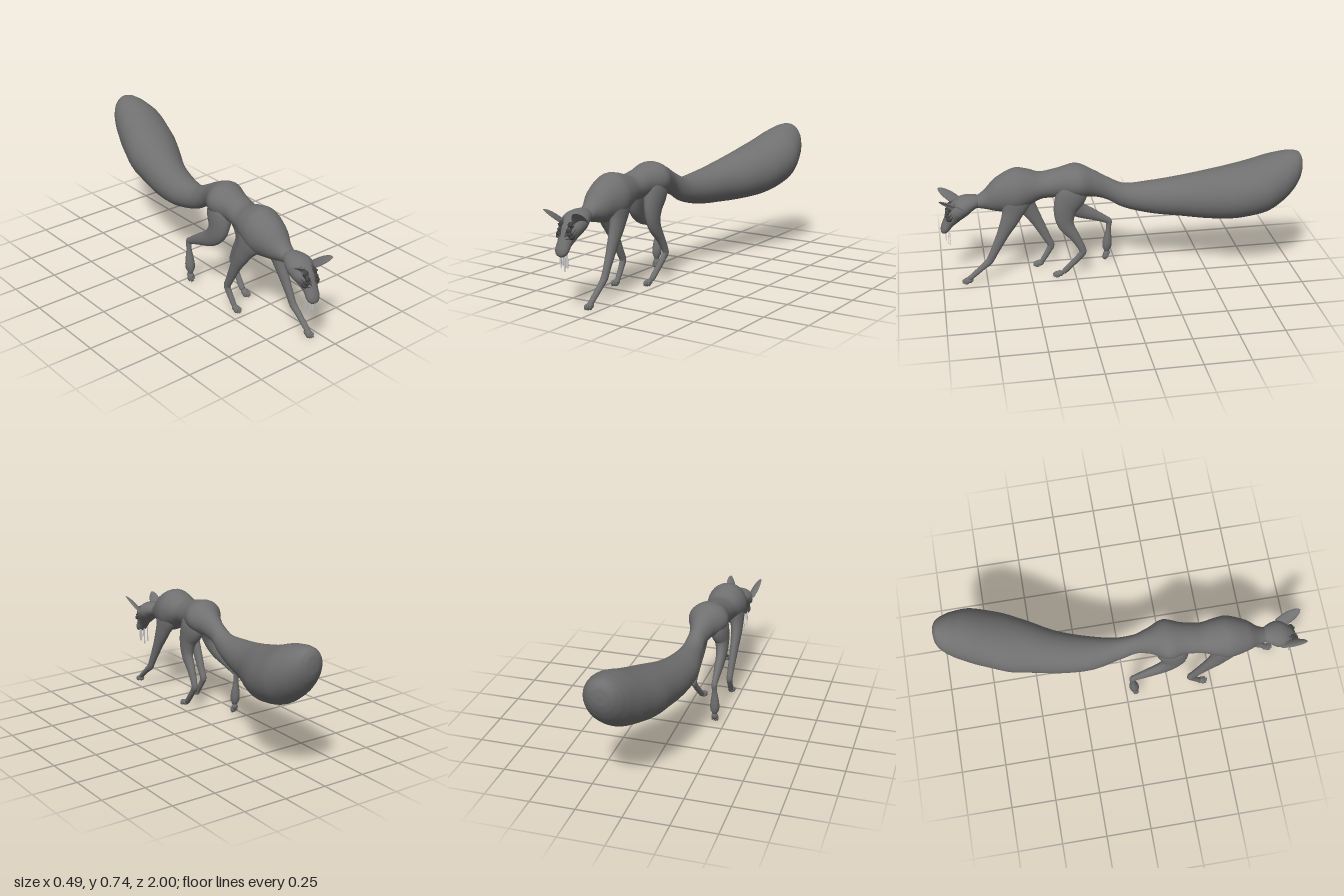
import * as THREE from 'three';
import { ParametricGeometry } from 'three/addons/geometries/ParametricGeometry.js';

const fur = new THREE.MeshStandardMaterial({ color: 0x707070 });
const earFur = new THREE.MeshStandardMaterial({ color: 0x707070, side: THREE.DoubleSide });
const dark = new THREE.MeshStandardMaterial({ color: 0x444444 });
const pale = new THREE.MeshStandardMaterial({ color: 0xcccccc });
const V = (x, y, z) => new THREE.Vector3(x, y, z);
const CX = -0.137; // centre line of head

// Smooth skin through elliptical sections [x, y, z, halfWidth, halfDepth].
// upright keeps every section in a vertical plane facing z.
function loft(name, pts, { upright = false, sides = 20, steps = 6, ref = V(1, 0, 0), material = fur } = {}) {
  const path = new THREE.CatmullRomCurve3(pts.map(p => V(p[0], p[1], p[2])));
  const size = new THREE.CatmullRomCurve3(pts.map(p => V(p[3], p[4], 0)));
  const rows = (pts.length - 1) * steps, pos = [], idx = [];
  for (let i = 0; i <= rows; i++) {
    const c = path.getPoint(i / rows), r = size.getPoint(i / rows);
    const t = path.getTangent(i / rows);
    const s = upright ? V(-1, 0, 0) : ref.clone().addScaledVector(t, -ref.dot(t)).normalize();
    const u = upright ? V(0, 1, 0) : t.clone().cross(s);
    for (let j = 0; j < sides; j++) {
      const a = j / sides * Math.PI * 2;
      const p = c.clone().addScaledVector(s, Math.max(r.x, 0) * Math.cos(a))
        .addScaledVector(u, Math.max(r.y, 0) * Math.sin(a));
      pos.push(p.x, p.y, p.z);
      if (i < rows) {
        const k = (j + 1) % sides, A = i * sides + j, B = i * sides + k;
        idx.push(A, B, B + sides, A, B + sides, A + sides);
      }
    }
  }
  const g = new THREE.BufferGeometry();
  g.setAttribute('position', new THREE.Float32BufferAttribute(pos, 3));
  g.setIndex(idx);
  g.computeVertexNormals();
  const m = new THREE.Mesh(g, material);
  m.name = name;
  return m;
}

// Paw with four toes and claws; tilt turns the toes downward
function paw(name, x, y, z, tilt = 0) {
  const g = new THREE.Group();
  g.name = name;
  const ball = (part, px, py, pz, sx, sy, sz) => {
    const m = new THREE.Mesh(new THREE.SphereGeometry(1, 14, 10), fur);
    m.position.set(px, py, pz);
    m.scale.set(sx, sy, sz);
    m.name = part;
    g.add(m);
  };
  ball('pad', 0, 0.004, 0, 0.019, 0.017, 0.024);
  for (let i = 0; i < 4; i++) {
    const tx = (i - 1.5) * 0.0098, tz = i % 3 ? 0.023 : 0.015;
    ball('toe', tx, -0.001, tz, 0.0058, 0.014, 0.015);
    const claw = new THREE.Mesh(new THREE.ConeGeometry(0.0028, 0.014, 8), fur);
    claw.position.set(tx, -0.01, tz + 0.013);
    claw.rotation.x = 2.2;
    claw.name = 'claw';
    g.add(claw);
  }
  g.position.set(x, y, z);
  g.rotation.x = tilt;
  return g;
}

// Broad cupped pointed ear, its hollow turned forward and slightly outward
function ear(s) {
  const base = V(CX + s * 0.064, 0.438, 0.875), axis = V(s * 0.032, 0.086, 0.12);
  const n = axis.clone().normalize();
  const open = V(s * 0.55, -0.55, 0.4);
  open.addScaledVector(n, -open.dot(n)).normalize();
  const side = n.clone().cross(open);
  const g = new ParametricGeometry((u, v, out) => {
    const a = (v - 0.5) * 3, r = 0.038 * Math.pow(1 - u, 0.65) * (0.75 + 1.1 * u);
    out.copy(base).addScaledVector(axis, u)
      .addScaledVector(open, -r * Math.cos(a) * 0.5).addScaledVector(side, r * Math.sin(a));
  }, 16, 16);
  const m = new THREE.Mesh(g, earFur);
  m.name = s > 0 ? 'leftEar' : 'rightEar';
  return m;
}

export function createModel() {
  const model = new THREE.Group();

  // Neck, trunk and bushy tail: [z, centre x, top y, bottom y, half width]
  const trunk = [
    [0.85, -0.137, 0.49, 0.44, 0.03], [0.78, -0.136, 0.505, 0.433, 0.042],
    [0.74, -0.135, 0.535, 0.425, 0.052], [0.68, -0.133, 0.598, 0.41, 0.083],
    [0.57, -0.13, 0.652, 0.4, 0.113], [0.5, -0.128, 0.642, 0.435, 0.104],
    [0.42, -0.122, 0.622, 0.475, 0.086], [0.33, -0.112, 0.643, 0.48, 0.087],
    [0.23, -0.105, 0.665, 0.475, 0.112], [0.14, -0.093, 0.63, 0.475, 0.07],
    [0.06, -0.086, 0.585, 0.45, 0.05], [-0.03, -0.08, 0.542, 0.4, 0.06],
    [-0.18, -0.072, 0.545, 0.36, 0.094], [-0.35, -0.04, 0.575, 0.346, 0.119],
    [-0.5, 0.01, 0.618, 0.345, 0.147], [-0.64, 0.051, 0.66, 0.357, 0.167],
    [-0.79, 0.09, 0.717, 0.398, 0.157], [-0.9, 0.099, 0.744, 0.47, 0.124],
    [-0.95, 0.099, 0.746, 0.525, 0.098], [-0.98, 0.098, 0.737, 0.575, 0.071],
    [-0.995, 0.097, 0.712, 0.618, 0.04], [-1, 0.097, 0.668, 0.668, 0]];
  model.add(loft('bodyAndTail', trunk.map(([z, x, t, b, w]) => [x, (t + b) / 2, z, w, (t - b) / 2]),
    { upright: true, sides: 32, steps: 5 }));

  // Head, turned down to the rounded muzzle
  const head = loft('head', [
    [CX, 0.473, 0.755, 0, 0], [CX, 0.473, 0.775, 0.04, 0.031], [CX, 0.466, 0.82, 0.065, 0.045],
    [CX, 0.449, 0.86, 0.076, 0.055], [CX, 0.418, 0.898, 0.068, 0.053], [CX, 0.385, 0.924, 0.049, 0.044],
    [CX - 0.002, 0.352, 0.948, 0.04, 0.033], [CX - 0.003, 0.322, 0.966, 0.039, 0.027],
    [CX - 0.003, 0.303, 0.976, 0.031, 0.02], [CX - 0.003, 0.294, 0.981, 0.018, 0.012],
    [CX - 0.003, 0.29, 0.983, 0, 0]], { sides: 28 });
  model.add(head, ear(1), ear(-1));

  // Raised face markings laid on the head, mirrored: [offset x, y]
  const ray = new THREE.Raycaster();
  const onHead = (x, y) => {
    ray.set(V(x, y, 2), V(0, 0, -1));
    const hit = ray.intersectObject(head)[0];
    return hit ? hit.point.z : 0.9;
  };
  const marks = [
    [[0.012, 0.385], [0.022, 0.4], [0.044, 0.407], [0.054, 0.43]],
    [[0.016, 0.378], [0.034, 0.384], [0.05, 0.397], [0.058, 0.415]],
    [[0.012, 0.392], [0.019, 0.415], [0.037, 0.428], [0.046, 0.452]],
    [[0.021, 0.415], [0.022, 0.44], [0.034, 0.46], [0.033, 0.485]],
    [[0.03, 0.425], [0.034, 0.436], [0.03, 0.45], [0.019, 0.478]]];
  for (const s of [1, -1]) for (const mk of marks) {
    const w = [0, 0.0036, 0.0036, 0];
    model.add(loft('faceMarking', mk.map(([dx, y], i) =>
      [CX + s * dx, y, onHead(CX + s * dx, y), w[i], w[i]]), { sides: 6, ref: V(0, 0, 1), material: dark }));
  }

  // Strands hanging from the mouth: [x, bottom y, z, width]
  for (const [x, y, z, w] of [[-0.165, 0.22, 0.943, 0.007], [-0.15, 0.25, 0.968, 0.008],
    [-0.143, 0.207, 0.945, 0.008], [-0.135, 0.242, 0.965, 0.006], [-0.121, 0.23, 0.953, 0.015]]) {
    const m = new THREE.Mesh(new THREE.BoxGeometry(w, 0.315 - y, 0.003), pale);
    m.position.set(x, (0.315 + y) / 2, z);
    m.name = 'mouthStrand';
    model.add(m);
  }

  // Legs in mid stride, their tops sunk into the trunk
  model.add(loft('frontLeftLeg', [
    [-0.1, 0.61, 0.565, 0.03, 0.05], [-0.08, 0.5, 0.572, 0.05, 0.09], [-0.065, 0.41, 0.597, 0.036, 0.058],
    [-0.06, 0.29, 0.655, 0.026, 0.034], [-0.056, 0.18, 0.711, 0.019, 0.023], [-0.055, 0.132, 0.737, 0.018, 0.021],
    [-0.054, 0.105, 0.768, 0.017, 0.017], [-0.056, 0.03, 0.855, 0.015, 0.013], [-0.057, 0.02, 0.868, 0, 0]]));
  model.add(paw('frontLeftPaw', -0.057, 0.018, 0.855));

  model.add(loft('frontRightLeg', [
    [-0.16, 0.61, 0.565, 0.03, 0.05], [-0.183, 0.5, 0.55, 0.05, 0.09], [-0.203, 0.41, 0.513, 0.034, 0.056],
    [-0.205, 0.29, 0.447, 0.024, 0.034], [-0.201, 0.18, 0.393, 0.019, 0.023], [-0.2, 0.132, 0.372, 0.018, 0.02],
    [-0.199, 0.105, 0.383, 0.016, 0.017], [-0.196, 0.035, 0.426, 0.014, 0.014], [-0.196, 0.02, 0.435, 0, 0]]));
  model.add(paw('frontRightPaw', -0.196, 0.021, 0.44));

  model.add(loft('hindLeftLeg', [
    [-0.085, 0.62, 0.24, 0.03, 0.05], [-0.058, 0.52, 0.262, 0.053, 0.09], [-0.046, 0.42, 0.303, 0.039, 0.066],
    [-0.04, 0.335, 0.302, 0.028, 0.046], [-0.034, 0.25, 0.25, 0.021, 0.028], [-0.029, 0.185, 0.216, 0.017, 0.021],
    [-0.028, 0.16, 0.21, 0.016, 0.02], [-0.031, 0.135, 0.226, 0.015, 0.018],
    [-0.047, 0.035, 0.315, 0.016, 0.015], [-0.05, 0.02, 0.328, 0, 0]]));
  model.add(paw('hindLeftPaw', -0.05, 0.019, 0.342));

  model.add(loft('hindRightLeg', [
    [-0.125, 0.62, 0.24, 0.03, 0.05], [-0.158, 0.52, 0.258, 0.052, 0.09], [-0.177, 0.425, 0.265, 0.039, 0.068],
    [-0.186, 0.36, 0.22, 0.03, 0.05], [-0.192, 0.31, 0.125, 0.023, 0.033], [-0.195, 0.274, 0.055, 0.017, 0.021],
    [-0.196, 0.26, 0.034, 0.016, 0.018], [-0.197, 0.235, 0.034, 0.015, 0.016],
    [-0.198, 0.075, 0.048, 0.015, 0.016], [-0.198, 0.05, 0.05, 0, 0]]));
  model.add(paw('hindRightPaw', -0.198, 0.05, 0.045, 0.9));

  return model;
}
